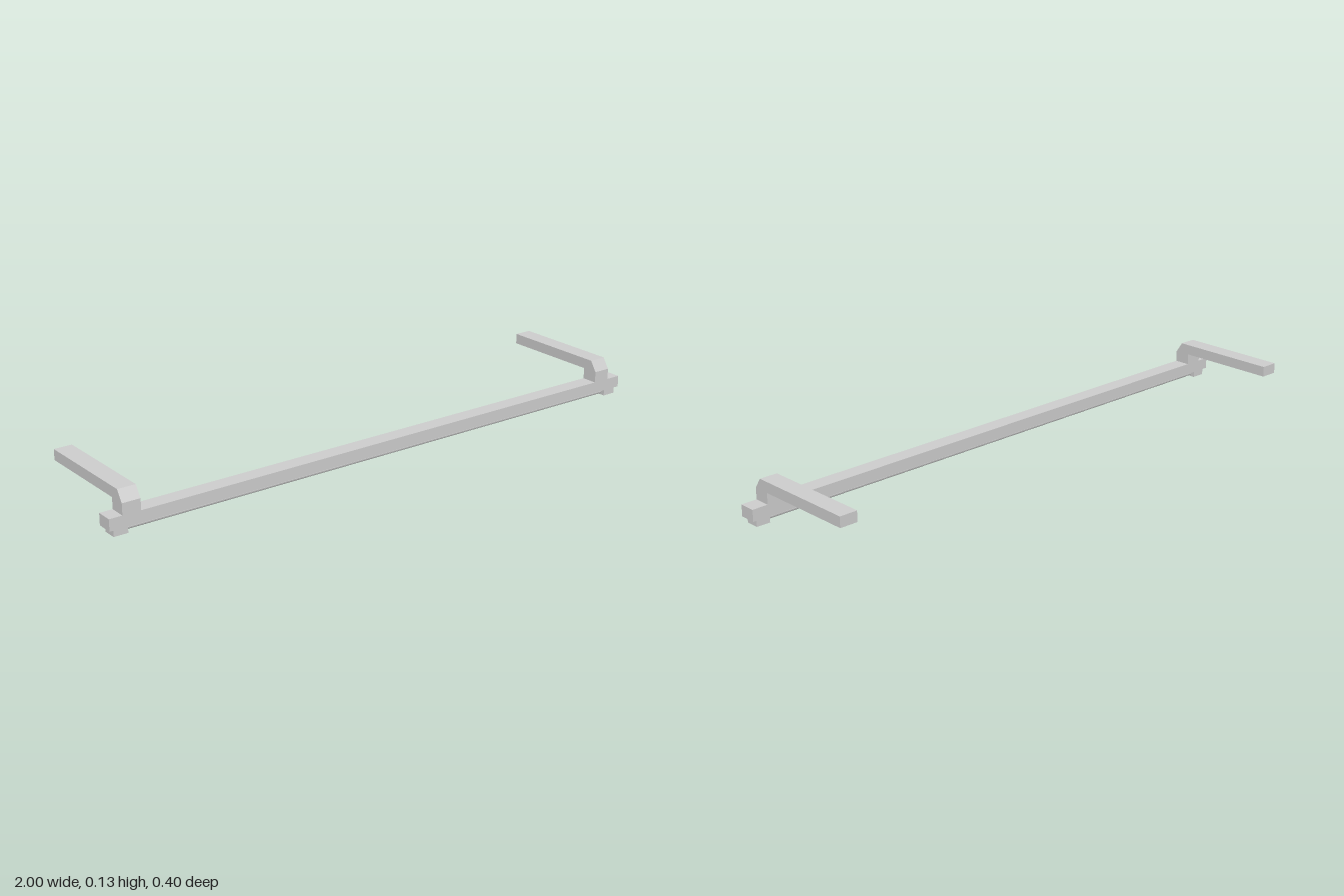
import * as THREE from 'three';

export function createModel() {
  const model = new THREE.Group();
  const material = new THREE.MeshStandardMaterial({ color: 0xcccccc, flatShading: true });
  const barZ = 0.172;

  const add = (name, geometry, x, y, z) => {
    const mesh = new THREE.Mesh(geometry, material);
    mesh.name = name;
    mesh.position.set(x, y, z);
    model.add(mesh);
    return mesh;
  };

  // Long horizontal housing
  add('housingBar', new THREE.BoxGeometry(2, 0.038, 0.055), 0, 0.041, barZ);

  // Slim tube slung under the housing
  const tube = add('lightTube', new THREE.CylinderGeometry(0.009, 0.009, 1.88, 12), 0, 0.011, barZ);
  tube.rotation.z = Math.PI / 2;

  // Bent bracket arm, drawn in (z, y) with a chamfered front corner
  const profile = new THREE.Shape([
    [0.1995, 0.06], [0.1995, 0.097], [0.176, 0.132], [-0.2, 0.132],
    [-0.2, 0.097], [0.1445, 0.097], [0.1445, 0.06],
  ].map(([z, y]) => new THREE.Vector2(-z, y)));
  const width = 0.06;
  const armGeometry = new THREE.ExtrudeGeometry(profile, { depth: width, bevelEnabled: false });
  armGeometry.translate(0, 0, -width / 2);
  armGeometry.rotateY(Math.PI / 2);

  for (const [side, s] of [['left', 1], ['right', -1]]) {
    add(side + 'Arm', armGeometry, s * 0.922 - 0.005, 0, 0);
    // Socket holding the end of the tube
    add(side + 'Socket', new THREE.BoxGeometry(0.047, 0.022, 0.045), s * 0.962, 0.011, barZ);
  }
  return model;
}
